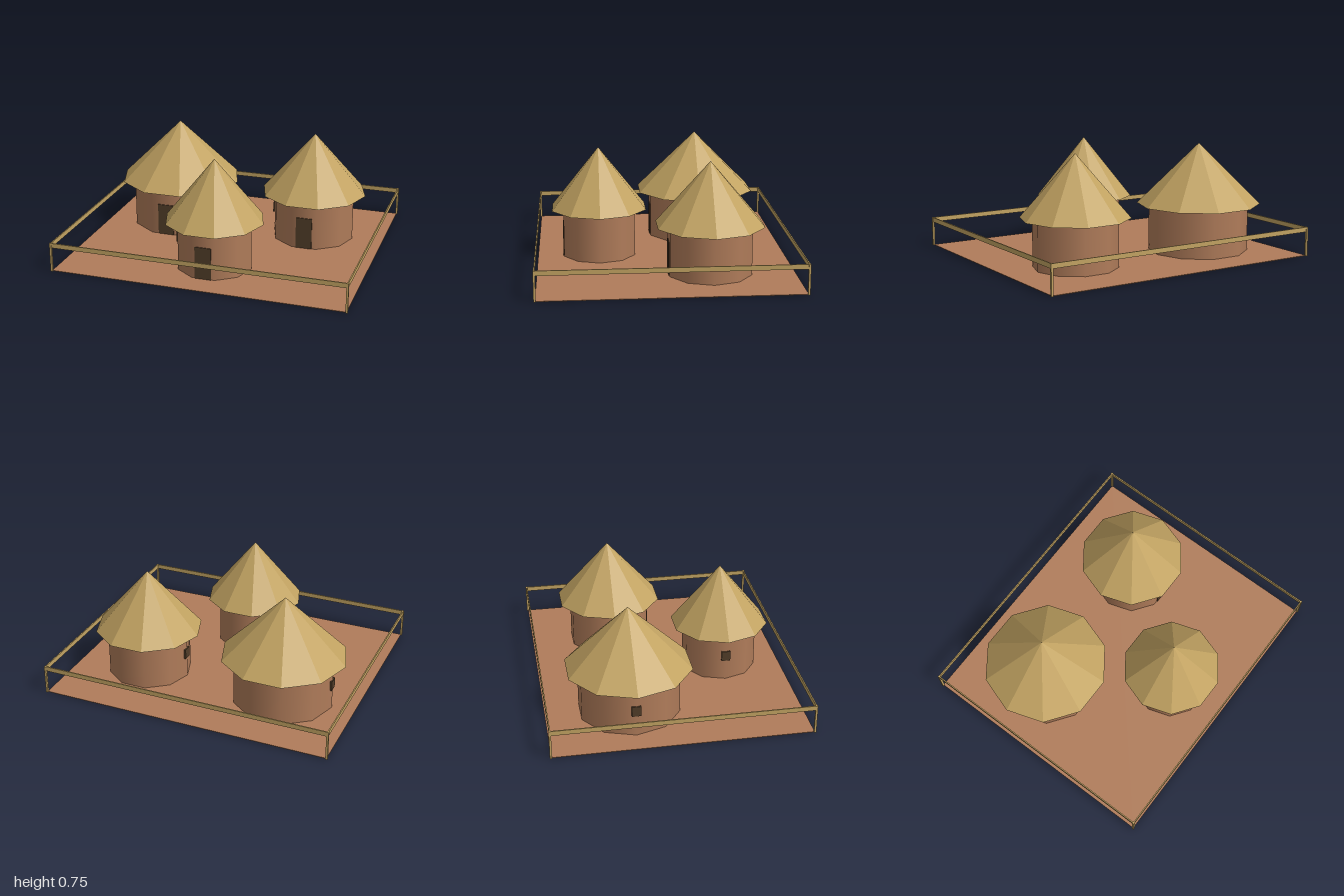
import * as THREE from 'three';

const SIDES = 10;
const EAVES = 0.33, APEX = 0.75;
const HALF_X = 0.993, HALF_Z = 0.847;

function material(name, color, flatShading = false) {
  const m = new THREE.MeshStandardMaterial({ color, flatShading });
  m.name = name;
  return m;
}

function addMesh(parent, name, geometry, mat, x, y, z) {
  const mesh = new THREE.Mesh(geometry, mat);
  mesh.name = name;
  mesh.position.set(x, y, z);
  parent.add(mesh);
  return mesh;
}

export function createModel() {
  const earth = material('red earth', 0xb07c5a);
  const straw = material('straw', 0xc2a362, true);
  const dark = material('dark wood', 0x513d29);

  const village = new THREE.Group();
  village.name = 'village';

  // Ground slab
  addMesh(village, 'ground', new THREE.BoxGeometry(1.984, 0.004, 1.692), earth, 0, 0.002, 0);

  // Round hut: smooth mud wall, faceted thatch cone, front door, side window
  function addHut(name, x, z, wallRadius, roofRadius) {
    const hut = new THREE.Group();
    hut.name = name;
    hut.position.set(x, 0, z);
    const turn = Math.PI / SIDES; // puts a flat face at the front
    const flat = wallRadius * Math.cos(turn);

    addMesh(hut, 'wall', new THREE.CylinderGeometry(wallRadius, wallRadius, EAVES, SIDES),
      earth, 0, EAVES / 2, 0).rotation.y = turn;
    addMesh(hut, 'roof', new THREE.ConeGeometry(roofRadius, APEX - EAVES, SIDES),
      straw, 0, (EAVES + APEX) / 2, 0).rotation.y = turn;
    addMesh(hut, 'door', new THREE.BoxGeometry(0.112, 0.225, 0.009), dark, 0, 0.1125, flat + 0.001);
    addMesh(hut, 'window', new THREE.BoxGeometry(0.02, 0.07, 0.06), dark, -wallRadius + 0.006, 0.183, 0);
    village.add(hut);
  }
  addHut('largeHut', -0.495, -0.285, 0.342, 0.425);
  addHut('mediumHut', 0.495, -0.285, 0.283, 0.365);
  addHut('smallHut', 0, 0.425, 0.255, 0.335);

  // Fence: a post at each corner and one rail along each side
  const fence = new THREE.Group();
  fence.name = 'fence';
  for (const s of [-1, 1]) {
    for (const t of [-1, 1]) {
      addMesh(fence, 'post', new THREE.BoxGeometry(0.014, 0.2, 0.014), straw, s * HALF_X, 0.1, t * HALF_Z);
    }
    addMesh(fence, 'longRail', new THREE.BoxGeometry(2 * HALF_X, 0.032, 0.008), straw, 0, 0.184, s * HALF_Z);
    addMesh(fence, 'sideRail', new THREE.BoxGeometry(0.008, 0.032, 2 * HALF_Z), straw, s * HALF_X, 0.184, 0);
  }
  village.add(fence);

  return village;
}
